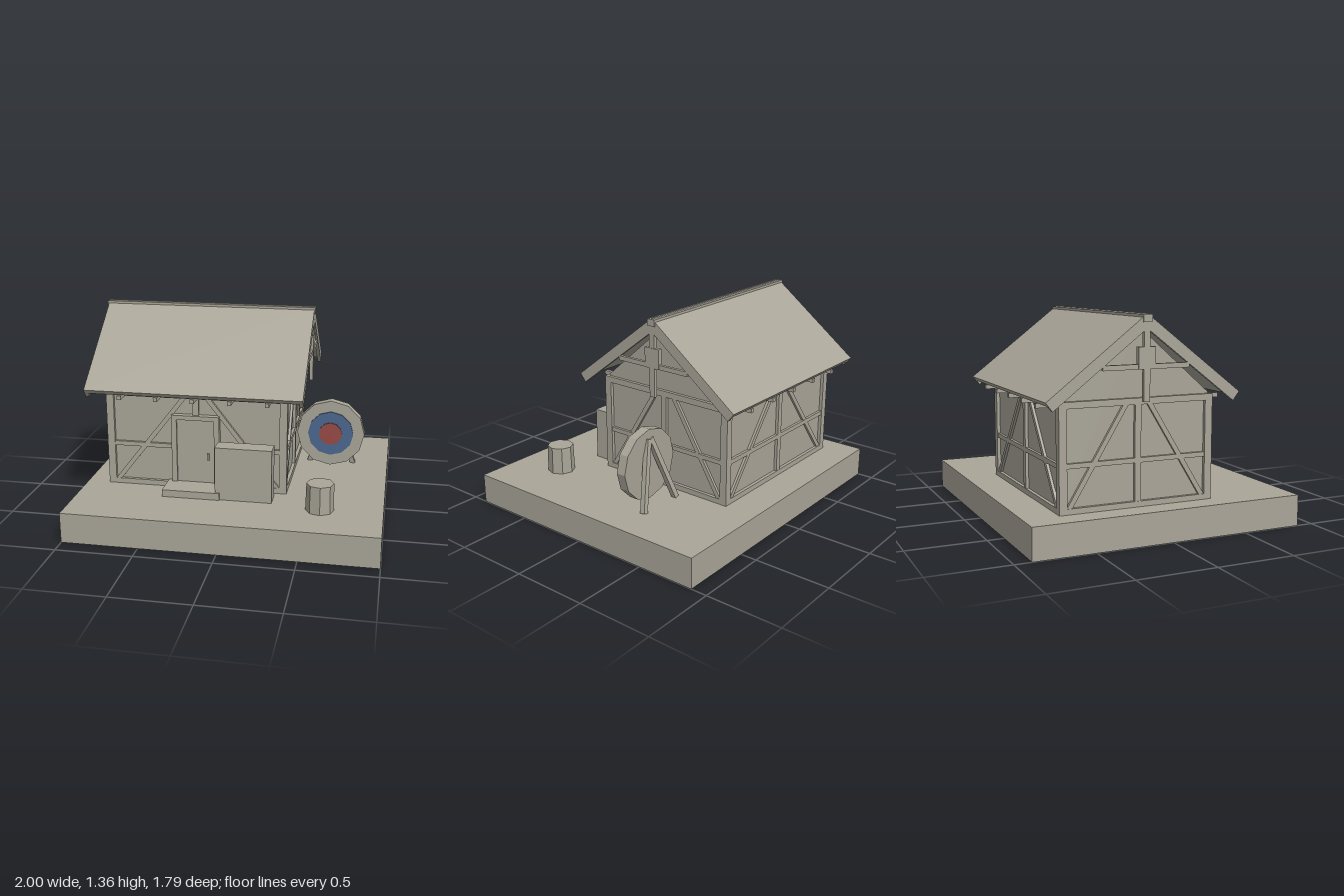
import * as THREE from 'three';

const stone = new THREE.MeshStandardMaterial({ name: 'warmGrey', color: 0xa9a598, flatShading: true });
const blue = new THREE.MeshStandardMaterial({ name: 'targetBlue', color: 0x4c688f, flatShading: true });
const red = new THREE.MeshStandardMaterial({ name: 'targetRed', color: 0x984a47, flatShading: true });

// House extents
const X0 = -0.85, X1 = 0.36, Z0 = -0.67, Z1 = 0.34;
const CX = (X0 + X1) / 2, CZ = (Z0 + Z1) / 2;
const FLOOR = 0.2, EAVE = 0.86;

function add(parent, name, geometry, material = stone) {
  const mesh = new THREE.Mesh(geometry, material);
  mesh.name = name;
  parent.add(mesh);
  return mesh;
}

// Box given by its minimum and maximum on each axis
function box(parent, name, x0, x1, y0, y1, z0, z1) {
  const mesh = add(parent, name, new THREE.BoxGeometry(x1 - x0, y1 - y0, z1 - z0));
  mesh.position.set((x0 + x1) / 2, (y0 + y1) / 2, (z0 + z1) / 2);
  return mesh;
}

// Outline in (z, y) extruded along x
function prism(parent, name, points, x0, x1) {
  const shape = new THREE.Shape(points.map(([z, y]) => new THREE.Vector2(z, y)));
  const geometry = new THREE.ExtrudeGeometry(shape, { depth: x1 - x0, bevelEnabled: false });
  geometry.rotateY(-Math.PI / 2).translate(x1, 0, 0);
  return add(parent, name, geometry);
}

// Square-section beam between two points
function beam(parent, name, a, b, width, depth) {
  const from = new THREE.Vector3(...a), to = new THREE.Vector3(...b);
  const dir = to.clone().sub(from);
  const mesh = add(parent, name, new THREE.BoxGeometry(width, dir.length(), depth));
  mesh.position.copy(from).add(to).multiplyScalar(0.5);
  mesh.quaternion.setFromUnitVectors(new THREE.Vector3(0, 1, 0), dir.normalize());
  return mesh;
}

// Half-timbered panel in its own plane: centre at x = 0, outer face at z = 0
function timberPanel(name, half) {
  const panel = new THREE.Group();
  panel.name = name;
  box(panel, 'sill', -half, half, FLOOR, 0.235, -0.045, 0);
  box(panel, 'topPlate', -half, half, 0.82, EAVE, -0.045, 0);
  box(panel, 'middleRail', -half, half, 0.47, 0.5, -0.04, -0.004);
  box(panel, 'centrePost', -0.02, 0.02, FLOOR, 0.83, -0.04, -0.002);
  for (const s of [-1, 1]) {
    beam(panel, 'brace', [s * (half - 0.06), 0.225, -0.02], [s * 0.075, 0.83, -0.02], 0.03, 0.03);
  }
  return panel;
}

function buildHouse() {
  const house = new THREE.Group();
  house.name = 'house';
  const inset = 0.022;
  prism(house, 'walls', [
    [Z0 + inset, FLOOR], [Z1 - inset, FLOOR], [Z1 - inset, 0.87], [CZ, 1.29], [Z0 + inset, 0.87],
  ], X0 + inset, X1 - inset);

  // Corner posts
  for (const x of [X0, X1 - 0.05]) {
    for (const z of [Z0, Z1 - 0.05]) box(house, 'cornerPost', x, x + 0.05, FLOOR, EAVE, z, z + 0.05);
  }

  // Timber on all four walls
  const halfX = (X1 - X0) / 2, halfZ = (Z1 - Z0) / 2;
  [
    ['frontTimber', halfX, CX, Z1, 0],
    ['backTimber', halfX, CX, Z0, Math.PI],
    ['leftTimber', halfZ, X1, CZ, Math.PI / 2],
    ['rightTimber', halfZ, X0, CZ, -Math.PI / 2],
  ].forEach(([name, half, x, z, turn]) => {
    const panel = timberPanel(name, half);
    panel.position.set(x, 0, z);
    panel.rotation.y = turn;
    house.add(panel);
  });

  // Joists whose tails stick out below the eaves
  for (let i = -2; i <= 2; i++) {
    const x = CX + i * 0.243;
    box(house, 'joist', x - 0.013, x + 0.013, 0.82, 0.848, CZ - 0.605, CZ + 0.605);
  }
  return house;
}

function buildRoof() {
  const roof = new THREE.Group();
  roof.name = 'roof';
  const left = -0.96, right = 0.47, run = 0.625, low = 0.88, top = 1.36;
  const length = Math.hypot(run, top - low);
  const nz = (top - low) / length, ny = run / length;

  // Strip lying parallel to the slope between two depths below its surface
  const strip = (s, d0, d1) => {
    const rise = (top - low) / run;
    const eave = (d) => [CZ + s * (run - nz * d), low - ny * d];
    const ridge = (d) => [CZ, top - d * (ny + nz * rise)];
    return [eave(d0), eave(d1), ridge(d1), ridge(d0)];
  };
  for (const s of [-1, 1]) {
    prism(roof, 'roofSlab', strip(s, 0, 0.033), left, right);
    for (const x of [left, right - 0.025]) prism(roof, 'gableRafter', strip(s, 0.033, 0.068), x, x + 0.025);
  }
  box(roof, 'ridgeBeam', -0.97, 0.477, 1.312, 1.355, CZ - 0.028, CZ + 0.028);

  // Trusses with a small plaque under each gable overhang
  for (const [x, s] of [[left + 0.0125, -1], [right - 0.0125, 1]]) {
    box(roof, 'kingPost', x - 0.012, x + 0.012, 0.85, 1.3, CZ - 0.02, CZ + 0.02);
    box(roof, 'collarBeam', x - 0.011, x + 0.011, 1.04, 1.07, CZ - 0.278, CZ + 0.278);
    box(roof, 'gablePlaque', x - 0.015, x + 0.015, 1.04, 1.17, CZ - 0.055, CZ + 0.055);
  }
  return roof;
}

function buildDoor() {
  const door = new THREE.Group();
  door.name = 'door';
  for (const x of [-0.405, -0.12]) box(door, 'doorJamb', x, x + 0.035, FLOOR, 0.71, 0.3, 0.36);
  box(door, 'doorLintel', -0.37, -0.12, 0.68, 0.71, 0.3, 0.36);
  box(door, 'doorLeaf', -0.37, -0.12, FLOOR, 0.68, 0.3, 0.347);
  box(door, 'doorHandle', -0.167, -0.152, 0.41, 0.455, 0.345, 0.36);
  box(door, 'doorStep', -0.435, -0.055, FLOOR, 0.247, 0.33, 0.52);
  return door;
}

function buildTarget() {
  const target = new THREE.Group();
  target.name = 'archeryTarget';
  const disc = (name, radius, back, front, material) => {
    const geometry = new THREE.CylinderGeometry(radius, radius, front - back, 12);
    geometry.rotateX(Math.PI / 2);
    add(target, name, geometry, material).position.set(0.6, 0.46, (back + front) / 2);
  };
  disc('targetBoard', 0.235, -0.25, -0.185, stone);
  disc('blueRing', 0.158, -0.185, -0.176, blue);
  disc('redCentre', 0.08, -0.176, -0.167, red);
  for (const s of [-1, 1]) {
    beam(target, 'targetLeg', [0.6 + s * 0.155, 0.2, -0.33], [0.6 + s * 0.01, 0.63, -0.245], 0.034, 0.034);
  }
  return target;
}

export function createModel() {
  const model = new THREE.Group();
  model.name = 'cottageDiorama';
  box(model, 'groundSlab', -1, 1, 0, FLOOR, -0.893, 0.893);
  model.add(buildHouse(), buildRoof(), buildDoor(), buildTarget());

  // Crate and stump in front of the house
  box(model, 'crate', -0.085, 0.285, FLOOR, 0.556, 0.39, 0.508);
  const stump = add(model, 'stump', new THREE.CylinderGeometry(0.087, 0.091, 0.182, 8));
  stump.position.set(0.6, FLOOR + 0.091, 0.55);
  stump.rotation.y = 0.09;
  return model;
}
